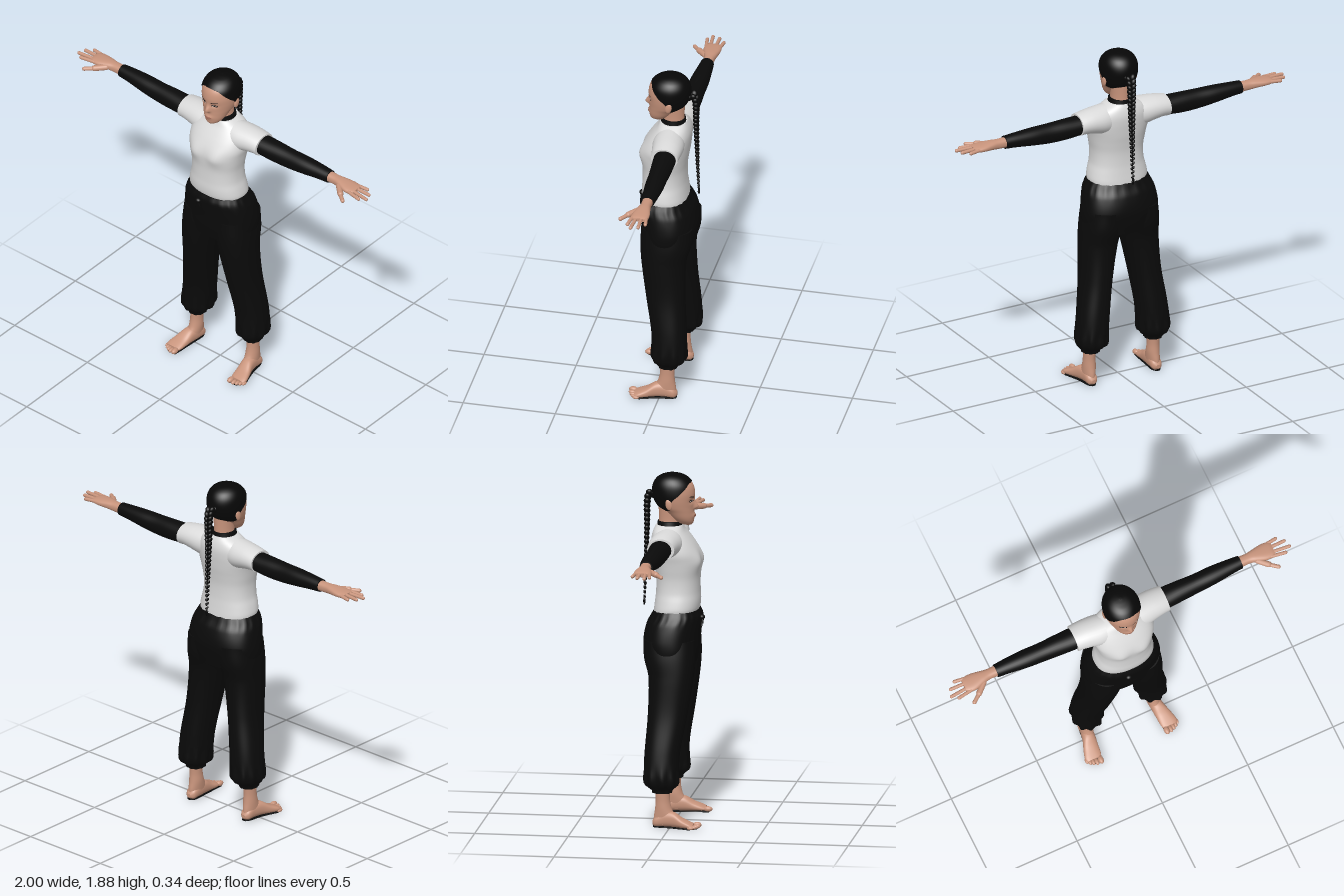
import * as THREE from 'three';

const material = (name, color) => Object.assign(new THREE.MeshStandardMaterial({ color }), { name });
const skin = material('skin', 0xc8947c);
const lip = material('lips', 0xa9705f);
const hair = material('hair', 0x070707);
const shirt = material('shirt', 0xdadada);
const black = material('black cloth', 0x0a0a0a);
const dark = material('eye dark', 0x1c1412);
const white = material('eye white', 0xcfc4bd);

// Smooth interpolation of table rows keyed on their first column
function sample(rows, t) {
  let i = 0;
  while (i < rows.length - 2 && t > rows[i + 1][0]) i++;
  const h = rows[i + 1][0] - rows[i][0], u = (t - rows[i][0]) / h;
  const slope = (k, c) => {
    const a = rows[Math.max(k - 1, 0)], b = rows[Math.min(k + 1, rows.length - 1)];
    return (b[c] - a[c]) / (b[0] - a[0]);
  };
  return rows[0].map((_, c) => {
    const p = rows[i][c], q = rows[i + 1][c];
    const s = 3 * u * u - 2 * u ** 3;
    return p + (q - p) * s + h * (slope(i, c) * (u ** 3 - 2 * u * u + u) + slope(i + 1, c) * (u ** 3 - u * u));
  });
}

// Closed skin over a grid of rings; surface(v, angle) returns [x, y, z]
function skinGrid(surface, rings, segs, flip) {
  const pos = [], index = [];
  const tri = (a, b, c) => index.push(a, ...(flip ? [c, b] : [b, c]));
  for (let i = 0; i <= rings; i++)
    for (let j = 0; j < segs; j++) pos.push(...surface(i / rings, (j / segs) * Math.PI * 2));
  for (let i = 0; i < rings; i++)
    for (let j = 0; j < segs; j++) {
      const a = i * segs + j, b = i * segs + (j + 1) % segs;
      tri(a, b, a + segs);
      tri(b, b + segs, a + segs);
    }
  // end caps
  for (const [ring, last] of [[0, false], [rings, true]]) {
    const base = pos.length / 3, mid = [0, 0, 0];
    for (let j = 0; j < segs; j++) {
      const p = pos.slice((ring * segs + j) * 3, (ring * segs + j) * 3 + 3);
      p.forEach((v, k) => { mid[k] += v / segs; });
      pos.push(...p);
    }
    pos.push(...mid);
    for (let j = 0; j < segs; j++) {
      const a = base + j, b = base + (j + 1) % segs;
      if (last) tri(a, b, base + segs); else tri(b, a, base + segs);
    }
  }
  const g = new THREE.BufferGeometry();
  g.setAttribute('position', new THREE.Float32BufferAttribute(pos, 3));
  g.setIndex(index);
  g.computeVertexNormals();
  return g;
}

// Rows are [t, aMin, aMax, bMin, bMax]; axis y: a=x b=z, axis x: a=y b=z, axis z: a=x b=y
function loft(rows, axis, { side = 1, power = 2, rings = 30, segs = 32, warp } = {}) {
  const t0 = rows[0][0], t1 = rows[rows.length - 1][0];
  const round = (v) => Math.sign(v) * Math.abs(v) ** (2 / power);
  return skinGrid((v, angle) => {
    const t = t0 + (t1 - t0) * v, [, a0, a1, b0, b1] = sample(rows, t);
    const a = (a0 + a1) / 2 + (a1 - a0) / 2 * round(Math.cos(angle));
    const b = (b0 + b1) / 2 + (b1 - b0) / 2 * round(Math.sin(angle));
    const p = axis === 'y' ? [a, t, b] : axis === 'x' ? [t, a, b] : [a, b, t];
    if (warp) warp(p, angle);
    p[0] *= side;
    return p;
  }, rings, segs, (axis === 'y') !== (side < 0));
}
const sym = (rows) => rows.map(([t, w, b, f]) => [t, -w, w, b, f]);
const gauss = (d, s) => Math.exp(-((d / s) ** 2));

// Head surface: [y, half width, back z, front z]
const headRows = sym([
  [1.603, 0.015, 0.045, 0.085], [1.615, 0.038, 0.01, 0.096], [1.64, 0.058, -0.02, 0.1],
  [1.68, 0.075, -0.06, 0.1], [1.7, 0.084, -0.09, 0.1], [1.74, 0.094, -0.113, 0.102],
  [1.78, 0.097, -0.121, 0.104], [1.82, 0.092, -0.115, 0.094], [1.85, 0.075, -0.096, 0.069],
  [1.867, 0.052, -0.07, 0.04], [1.875, 0.028, -0.043, 0.008], [1.878, 0.002, -0.02, -0.016],
]);
const faceBump = (x, y) =>
  0.024 * gauss(x, 0.013) * gauss(y - 1.7, y > 1.7 ? 0.028 : 0.01)
  + 0.008 * gauss(x, 0.025) * gauss(y - 1.654, 0.012)
  - 0.008 * gauss(Math.abs(x) - 0.034, 0.018) * gauss(y - 1.737, 0.012);
function headPoint(y, angle, grow = 0) {
  const [, , w, b, f] = sample(headRows, y);
  const x = (w + grow) * Math.cos(angle);
  const z = (b + f) / 2 + ((f - b) / 2 + grow) * Math.sin(angle);
  return [x, y + grow * 0.7, z + (Math.sin(angle) > 0 ? faceBump(x, y) : 0)];
}
function faceZ(x, y) {
  const [, , w, b, f] = sample(headRows, y);
  return (b + f) / 2 + (f - b) / 2 * Math.sqrt(Math.max(0, 1 - (x / w) ** 2)) + faceBump(x, y);
}
const hairline = [[-1, 1.68], [-0.5, 1.683], [-0.2, 1.7], [0, 1.74], [0.3, 1.768], [0.6, 1.8], [0.85, 1.828], [1, 1.835]];

export function createModel() {
  const model = new THREE.Group();
  const add = (name, geometry, mat, parent = model) => {
    const m = new THREE.Mesh(geometry, mat);
    m.name = name;
    parent.add(m);
    return m;
  };
  const ball = (name, mat, p, r, parent = model) => {
    const m = add(name, new THREE.SphereGeometry(1, 16, 12), mat, parent);
    m.position.set(...p);
    m.scale.set(...r);
    return m;
  };
  const rod = (name, mat, from, to, r) => {
    const a = new THREE.Vector3(...from), d = new THREE.Vector3(...to).sub(a), len = d.length();
    const m = add(name, new THREE.CapsuleGeometry(r, Math.max(len - 2 * r, 0.001), 5, 12), mat);
    m.position.copy(a).addScaledVector(d, 0.5);
    m.quaternion.setFromUnitVectors(new THREE.Vector3(0, 1, 0), d.normalize());
    return m;
  };

  // Head, hair cap and neck
  const eased = (v) => 1 - (1 - v) ** 1.5;
  add('head', skinGrid((v, a) => headPoint(1.603 + 0.275 * eased(v), a), 64, 96, true), skin);
  add('hairCap', skinGrid((v, a) => {
    const low = sample(hairline, Math.sin(a))[1];
    return headPoint(low + (1.878 - low) * eased(v), a, 0.004);
  }, 28, 64, true), hair);
  add('neck', loft(sym([[1.56, 0.058, -0.09, 0.03], [1.63, 0.052, -0.088, 0.03], [1.71, 0.055, -0.09, 0.03]]), 'y'), skin);
  add('collar', loft(sym([
    [1.53, 0.09, -0.112, 0.05], [1.57, 0.075, -0.102, 0.042], [1.6, 0.068, -0.097, 0.038], [1.622, 0.064, -0.094, 0.035],
  ]), 'y'), black);

  // Painted face details that follow the head surface
  const facePatch = (name, mat, x, y, w, h, lift, tilt = 0) => {
    const g = new THREE.CircleGeometry(1, 20), p = g.attributes.position;
    for (let i = 0; i < p.count; i++) {
      const px = x + p.getX(i) * w, py = y + p.getY(i) * h + p.getX(i) * tilt;
      p.setXYZ(i, px, py, faceZ(px, py) + lift);
    }
    g.computeVertexNormals();
    add(name, g, mat);
  };
  facePatch('mouth', lip, 0, 1.654, 0.023, 0.007, 0.002);
  for (const s of [1, -1]) {
    facePatch('eyeLine', dark, s * 0.036, 1.737, 0.018, 0.006, 0.002);
    facePatch('eyeWhite', white, s * 0.036, 1.736, 0.014, 0.0035, 0.003);
    facePatch('iris', dark, s * 0.036, 1.736, 0.004, 0.004, 0.004);
    facePatch('brow', dark, s * 0.038, 1.759, 0.021, 0.003, 0.002, s * 0.004);
    ball('ear', skin, [s * 0.094, 1.725, -0.022], [0.009, 0.03, 0.018]).rotation.x = -0.2;
  }

  // Plaited ponytail
  const plait = new THREE.Group();
  plait.name = 'plait';
  model.add(plait);
  const path = new THREE.CatmullRomCurve3([[1.765, -0.115], [1.77, -0.14], [1.735, -0.15], [1.6, -0.152], [1.4, -0.158], [1.165, -0.167]]
    .map(([y, z]) => new THREE.Vector3(0, y, z)));
  for (let i = 0; i < 26; i++) {
    const u = i / 25, p = path.getPointAt(u * 0.97), r = 0.019 - 0.013 * u;
    for (const s of [1, -1])
      ball('plaitStrand', hair, [s * r * 0.6, p.y - (s > 0 ? 0.008 : 0), p.z], [r * 0.8, r * 1.15, r], plait).rotation.z = -s * 0.5;
  }
  ball('plaitTip', hair, [0, 1.18, -0.167], [0.006, 0.022, 0.006], plait);

  // T-shirt body
  add('shirtBody', loft(sym([
    [1.138, 0.163, -0.112, 0.122], [1.16, 0.167, -0.11, 0.13], [1.2, 0.16, -0.105, 0.134],
    [1.25, 0.148, -0.1, 0.132], [1.32, 0.146, -0.1, 0.132], [1.38, 0.155, -0.108, 0.136],
    [1.42, 0.162, -0.115, 0.136], [1.46, 0.17, -0.12, 0.127], [1.5, 0.168, -0.124, 0.106],
    [1.54, 0.155, -0.124, 0.078], [1.575, 0.125, -0.115, 0.052], [1.602, 0.075, -0.102, 0.04],
  ]), 'y', {
    power: 2.3, rings: 44, segs: 56,
    warp: (p, a) => { if (Math.sin(a) > 0) p[2] += 0.014 * gauss(Math.abs(p[0]) - 0.07, 0.045) * gauss(p[1] - 1.415, 0.045); },
  }), shirt);

  // Trouser seat, with a gathered waist and tied cord
  add('trouserSeat', loft(sym([
    [0.87, 0.205, -0.145, 0.115], [0.94, 0.215, -0.16, 0.128], [1.0, 0.214, -0.165, 0.132],
    [1.08, 0.2, -0.147, 0.14], [1.12, 0.184, -0.124, 0.142], [1.152, 0.166, -0.108, 0.13],
  ]), 'y', {
    power: 2.3, segs: 80,
    warp: (p, a) => {
      const k = 1 + 0.012 * Math.sin(a * 20) * gauss(p[1] - 1.12, 0.035);
      p[0] *= k; p[2] *= k;
    },
  }), black);
  ball('cordKnot', black, [-0.03, 1.11, 0.147], [0.018, 0.014, 0.016]);
  rod('cordEnd', black, [-0.035, 1.105, 0.152], [-0.05, 1.06, 0.146], 0.004);
  rod('cordEnd', black, [-0.025, 1.105, 0.152], [-0.015, 1.07, 0.148], 0.004);

  for (const side of [1, -1]) {
    // Arm
    add('shortSleeve', loft([
      [0.07, 1.43, 1.595, -0.105, 0.055], [0.13, 1.44, 1.592, -0.115, 0.055], [0.19, 1.455, 1.588, -0.116, 0.045],
      [0.235, 1.462, 1.582, -0.114, 0.038], [0.268, 1.46, 1.576, -0.112, 0.034],
    ], 'x', { side }), shirt);
    add('longSleeve', loft([
      [0.15, 1.475, 1.57, -0.1, 0.018], [0.27, 1.463, 1.567, -0.102, 0.018], [0.36, 1.456, 1.567, -0.1, 0.012],
      [0.45, 1.457, 1.565, -0.096, 0.006], [0.55, 1.468, 1.564, -0.097, 0.002], [0.65, 1.481, 1.56, -0.091, -0.008],
      [0.717, 1.486, 1.556, -0.085, -0.014],
    ], 'x', { side }), black);
    // Hand
    add('palm', loft([
      [0.69, 1.494, 1.549, -0.08, -0.02], [0.76, 1.496, 1.547, -0.078, -0.022], [0.8, 1.5, 1.547, -0.084, -0.012],
      [0.85, 1.504, 1.543, -0.092, 0.001], [0.89, 1.508, 1.538, -0.09, 0], [0.905, 1.513, 1.533, -0.083, -0.007],
    ], 'x', { side, power: 2.4 }), skin);
    const fingers = [[-0.008, 0.966, 0.006], [-0.03, 0.999, -0.018], [-0.055, 0.986, -0.058], [-0.079, 0.95, -0.09]];
    for (const [z, tipX, tipZ] of fingers)
      rod('finger', skin, [side * 0.87, 1.525, z], [side * tipX, 1.521, tipZ], 0.0095);
    rod('thumb', skin, [side * 0.79, 1.52, -0.03], [side * 0.86, 1.513, 0.035], 0.016);
    rod('thumbTip', skin, [side * 0.835, 1.514, 0.015], [side * 0.9, 1.508, 0.064], 0.011);

    // Trouser leg gathered into a cuff
    add('trouserLeg', loft([
      [0.188, 0.142, 0.238, -0.095, 0.01], [0.208, 0.14, 0.242, -0.1, 0.014], [0.222, 0.115, 0.258, -0.125, 0.035],
      [0.245, 0.104, 0.268, -0.14, 0.046], [0.29, 0.1, 0.271, -0.142, 0.046], [0.4, 0.09, 0.26, -0.138, 0.05],
      [0.6, 0.062, 0.232, -0.125, 0.085], [0.8, 0.024, 0.222, -0.125, 0.115], [0.9, 0.003, 0.217, -0.15, 0.123],
      [1.0, 0.003, 0.205, -0.155, 0.12],
    ], 'y', {
      side, power: 2.2, rings: 60, segs: 48,
      warp: (p, a) => {
        const k = 0.006 * Math.sin(a * 10) * gauss(p[1] - 0.25, 0.06);
        p[0] += k * Math.cos(a); p[2] += k * Math.sin(a);
      },
    }), black);

    // Bare ankle, foot, toes and dark sole
    add('ankle', loft([
      [0.02, 0.168, 0.226, -0.088, 0.035], [0.06, 0.163, 0.228, -0.086, 0.03], [0.1, 0.16, 0.228, -0.08, 0.01],
      [0.15, 0.162, 0.226, -0.077, 0], [0.24, 0.158, 0.228, -0.084, 0.002],
    ], 'y', { side }), skin);
    add('foot', loft([
      [-0.093, 0.185, 0.208, 0.015, 0.035], [-0.08, 0.168, 0.224, 0.004, 0.055], [-0.03, 0.164, 0.23, 0.004, 0.085],
      [0.02, 0.167, 0.24, 0.004, 0.085], [0.07, 0.172, 0.258, 0.004, 0.055], [0.11, 0.176, 0.268, 0.004, 0.037],
      [0.13, 0.182, 0.262, 0.006, 0.028],
    ], 'z', { side, power: 2.4 }), skin);
    [[0.193, 0.145, 0.015], [0.216, 0.146, 0.011], [0.234, 0.139, 0.01], [0.25, 0.13, 0.0095], [0.264, 0.118, 0.009]]
      .forEach(([x, z, r]) => ball('toe', skin, [side * x, r + 0.003, z], [r, r, r + 0.009]));
    add('sole', loft([
      [-0.09, 0.185, 0.208, 0, 0.009], [-0.07, 0.17, 0.222, 0, 0.009], [0, 0.173, 0.232, 0, 0.009],
      [0.07, 0.178, 0.253, 0, 0.009], [0.11, 0.18, 0.264, 0, 0.009], [0.15, 0.184, 0.235, 0, 0.009],
    ], 'z', { side, power: 4, rings: 20 }), black);
  }
  return model;
}
